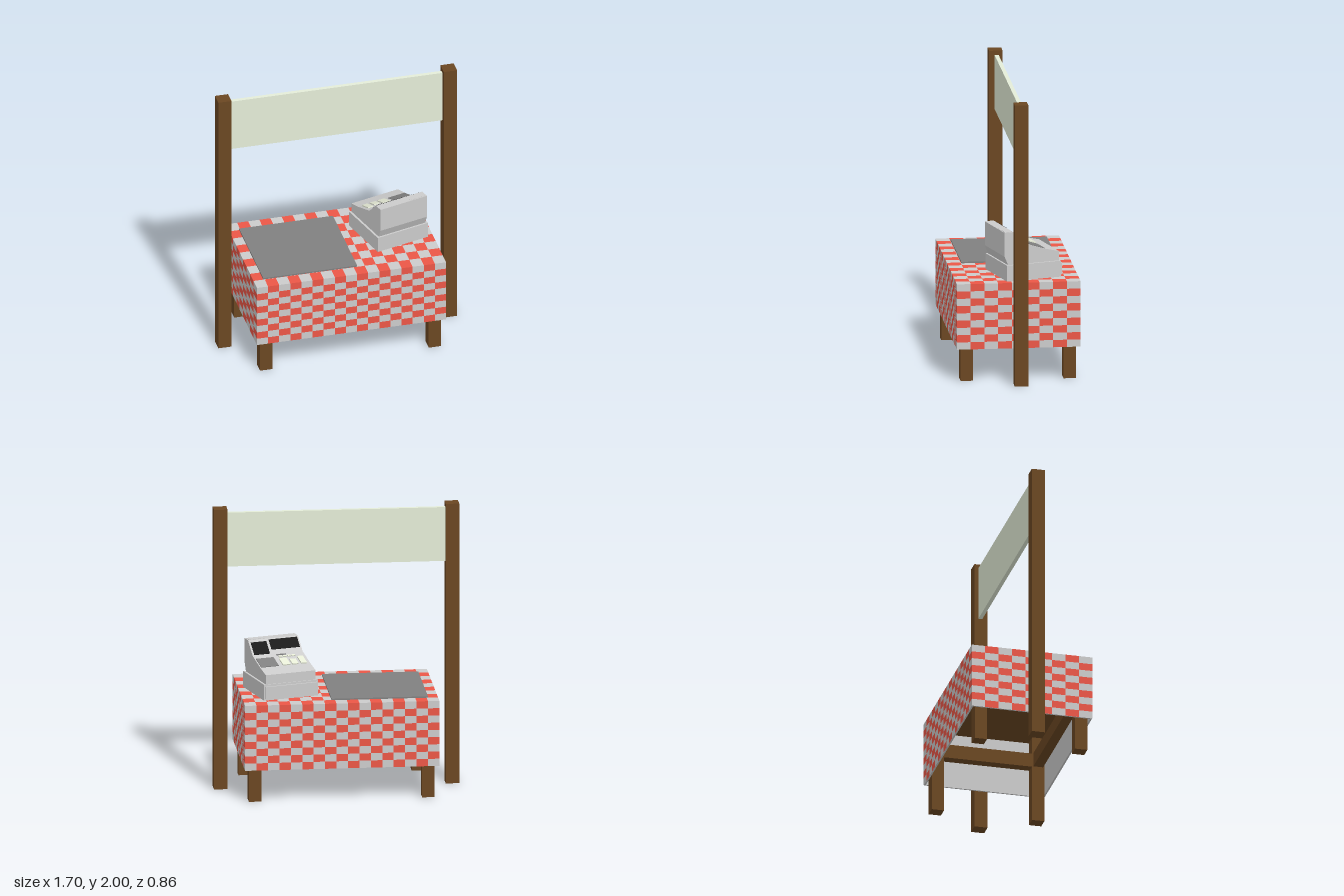
import * as THREE from 'three';
import { mergeGeometries } from 'three/addons/utils/BufferGeometryUtils.js';

const mat = (color) => new THREE.MeshStandardMaterial({ color });
const GREY = mat(0xcccccc);
const WOOD = mat(0x6b4722);
const RED = mat(0xec5747);
const SIGN = mat(0xe4edd8);
const SLATE = mat(0x808080);
const BLACK = mat(0x1c1c1c);
const KEY = mat(0xe6ebd6);

function box(parent, name, material, size, pos) {
  const mesh = new THREE.Mesh(new THREE.BoxGeometry(...size), material);
  mesh.name = name;
  mesh.position.set(...pos);
  parent.add(mesh);
  return mesh;
}

// Chequered cloth: every face is a grid of squares sorted by colour
function createTablecloth() {
  const cloth = new THREE.Group();
  cloth.name = 'tablecloth';
  const W = 1.35, D = 0.86, y0 = 0.23, y1 = 0.695, H = y1 - y0, yc = (y0 + y1) / 2;
  const cells = [[], []];
  const face = (w, h, cols, rows, rx, ry, pos) => {
    const m = new THREE.Matrix4()
      .makeRotationFromEuler(new THREE.Euler(rx, ry, 0))
      .setPosition(...pos);
    for (let i = 0; i < cols; i++) {
      for (let j = 0; j < rows; j++) {
        const cell = new THREE.PlaneGeometry(w / cols, h / rows);
        cell.translate(((i + 0.5) / cols - 0.5) * w, ((j + 0.5) / rows - 0.5) * h, 0);
        cells[(i + j) % 2].push(cell.applyMatrix4(m));
      }
    }
  };
  face(W, D, 17, 9, -Math.PI / 2, 0, [0, y1, 0]);
  for (const s of [1, -1]) {
    face(W, H, 17, 9, 0, s > 0 ? 0 : Math.PI, [0, yc, s * D / 2]);
    face(D, H, 9, 9, 0, s * Math.PI / 2, [s * W / 2, yc, 0]);
  }
  [['greyChecks', GREY], ['redChecks', RED]].forEach(([name, material], k) => {
    const mesh = new THREE.Mesh(mergeGeometries(cells[k]), material);
    mesh.name = name;
    cloth.add(mesh);
  });
  // Plain lining gives the hanging sides their thickness
  const t = 0.012, e = 0.001;
  for (const s of [1, -1]) {
    box(cloth, 'liningLong', GREY, [W - 2 * e, H - e, t], [0, yc - e / 2, s * (D / 2 - t / 2 - e)]);
    box(cloth, 'liningShort', GREY, [t, H - e, D - 2 * e], [s * (W / 2 - t / 2 - e), yc - e / 2, 0]);
  }
  return cloth;
}

// Wooden table hidden below the cloth
function createTable() {
  const table = new THREE.Group();
  table.name = 'table';
  box(table, 'tableTop', WOOD, [1.32, 0.06, 0.83], [0, 0.66, 0]);
  for (const s of [1, -1]) {
    for (const q of [1, -1]) box(table, 'leg', WOOD, [0.087, 0.65, 0.087], [s * 0.602, 0.325, q * 0.358]);
    box(table, 'longRail', WOOD, [1.12, 0.1, 0.07], [0, 0.46, s * 0.358]);
    box(table, 'shortRail', WOOD, [0.07, 0.1, 0.63], [s * 0.602, 0.46, 0]);
  }
  return table;
}

// Till with its operator side towards -z
function createRegister() {
  const till = new THREE.Group();
  till.name = 'cashRegister';
  box(till, 'drawerCase', GREY, [0.4, 0.113, 0.4], [0, 0.7525, 0.003]);
  box(till, 'drawerFront', GREY, [0.38, 0.085, 0.014], [0, 0.752, -0.203]);

  // Side profile (z, y) of the housing
  const profile = [[-0.19, 0.809], [-0.19, 0.875], [-0.09, 0.9], [0.06, 0.95],
    [0.15, 1.04], [0.215, 1.04], [0.215, 0.87], [0.19, 0.809]];
  const shape = new THREE.Shape(profile.map(([z, y]) => new THREE.Vector2(z, y)));
  const geo = new THREE.ExtrudeGeometry(shape, { depth: 0.37, bevelEnabled: false });
  geo.translate(0, 0, -0.185).rotateY(-Math.PI / 2);
  const housing = new THREE.Mesh(geo, GREY);
  housing.name = 'housing';
  till.add(housing);

  // Lays a thin plate on the profile segment that starts at point seg
  const plate = (name, material, seg, x, z0, z1, w, t = 0.008) => {
    const [az, ay] = profile[seg], [bz, by] = profile[seg + 1];
    const slope = (by - ay) / (bz - az), z = (z0 + z1) / 2;
    const mesh = box(till, name, material, [w, t, (z1 - z0) * Math.hypot(1, slope)],
      [x, ay + (z - az) * slope, z]);
    mesh.rotation.x = -Math.atan(slope);
  };
  plate('mainScreen', BLACK, 3, -0.069, 0.085, 0.142, 0.21);
  plate('sideScreen', BLACK, 3, 0.114, 0.064, 0.135, 0.115);
  plate('sidePad', SLATE, 2, 0.112, -0.084, 0.02, 0.13);
  plate('keyBlock', KEY, 2, -0.011, -0.085, -0.005, 0.055, 0.016);
  plate('keyBlock', KEY, 2, -0.076, -0.085, -0.025, 0.045, 0.016);
  plate('keyBlock', KEY, 2, -0.14, -0.085, 0.0, 0.042, 0.016);
  for (let i = 0; i < 4; i++) plate('smallKey', KEY, 2, -0.1 + i * 0.032, 0.012, 0.027, 0.024, 0.014);
  plate('slot', SLATE, 2, -0.02, 0.04, 0.05, 0.07);
  plate('printerLid', GREY, 4, 0.115, 0.158, 0.208, 0.12, 0.004);

  till.position.set(0.39, 0, -0.065);
  till.rotation.y = 0.27;
  return till;
}

export function createModel() {
  const stall = new THREE.Group();
  stall.name = 'marketStall';
  stall.add(createTable(), createTablecloth(), createRegister());
  box(stall, 'counterMat', SLATE, [0.67, 0.01, 0.67], [-0.27, 0.7, -0.003]);

  // Posts carrying the blank sign board
  for (const s of [1, -1]) box(stall, 'post', WOOD, [0.094, 2, 0.094], [s * 0.805, 1, 0]);
  box(stall, 'signBoard', SIGN, [1.53, 0.385, 0.028], [0, 1.778, -0.005]);
  return stall;
}
